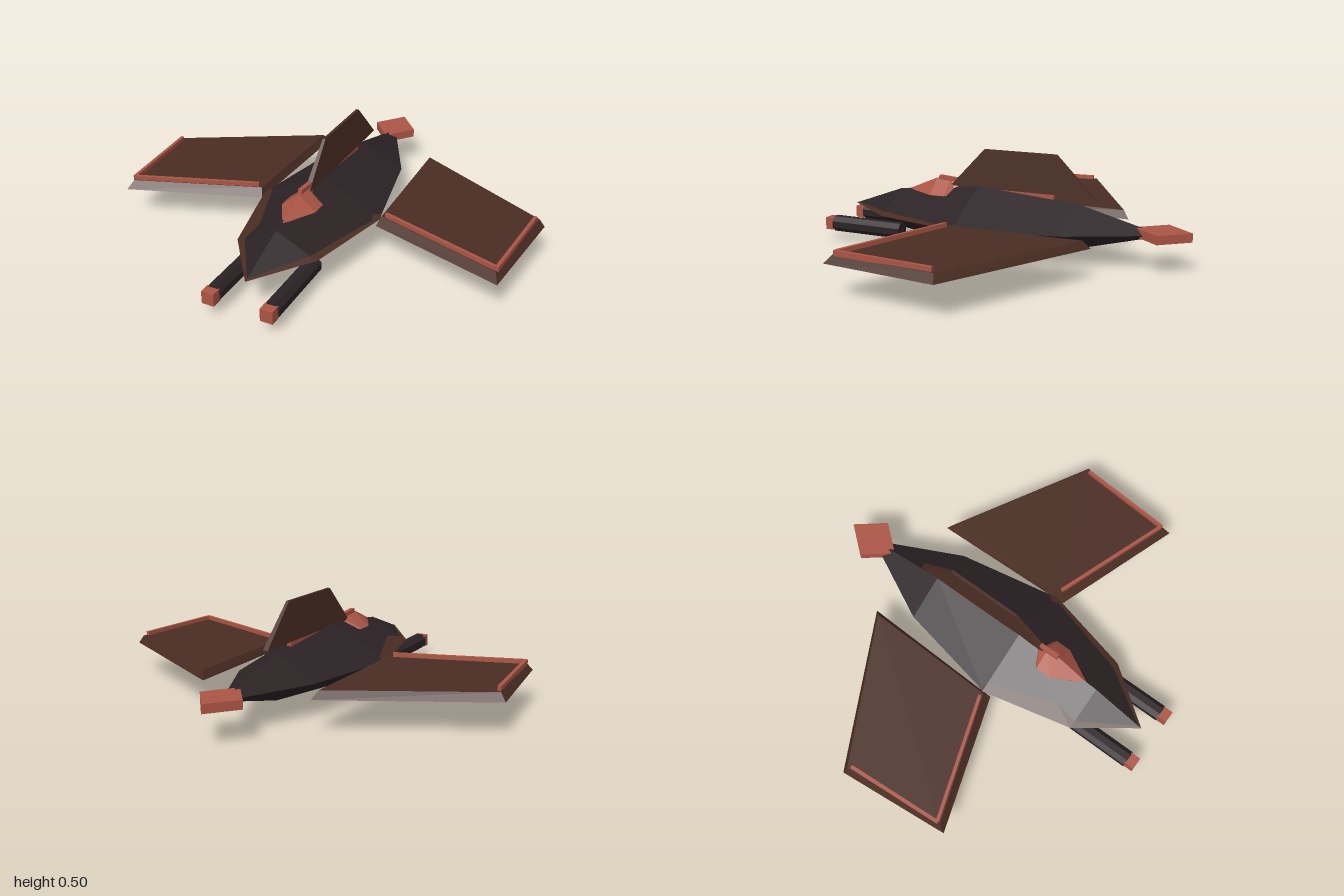
import * as THREE from 'three';

const paint = (name, color) => {
  const m = new THREE.MeshStandardMaterial({ color });
  m.name = name;
  return m;
};

// Faceted solid through a list of closed rings, capped at both ends.
// Rings run towards the viewer, corners counter-clockwise.
function loft(rings) {
  const pos = [];
  const tri = (...pts) => pts.forEach((p) => pos.push(...p));
  const n = rings[0].length;
  for (let i = 0; i < rings.length - 1; i++) {
    for (let j = 0; j < n; j++) {
      const k = (j + 1) % n;
      const [a, b, c, d] = [rings[i][j], rings[i][k], rings[i + 1][k], rings[i + 1][j]];
      tri(a, b, c);
      tri(a, c, d);
    }
  }
  const first = rings[0], last = rings[rings.length - 1];
  for (let j = 1; j < n - 1; j++) {
    tri(first[0], first[j + 1], first[j]);
    tri(last[0], last[j], last[j + 1]);
  }
  const g = new THREE.BufferGeometry();
  g.setAttribute('position', new THREE.Float32BufferAttribute(pos, 3));
  g.computeVertexNormals();
  return g;
}

// Diamond cross-sections along z: [z, half width, height above, depth below]
const spindle = (cy, sections) => loft(sections.map(([z, w, up, down]) => [
  [w, cy, z], [0, cy + up, z], [-w, cy, z], [0, cy - down, z],
]));

// Solid between a bottom outline and a top outline of [x, z] corners
const slab = (bottom, y0, top, y1, side = 1) => {
  const ring = (pts, y) => {
    const r = pts.map(([x, z]) => [x * side, y, z]);
    return side < 0 ? r.reverse() : r;
  };
  return loft([ring(bottom, y0), ring(top, y1)]);
};

const rect = (w, z0, z1) => [[-w, z0], [w, z0], [w, z1], [-w, z1]];

export function createModel() {
  const model = new THREE.Group();
  model.name = 'spacecraft';
  const dark = paint('charcoal', 0x2b2224);
  const brown = paint('dark brown', 0x4a2d23);
  const red = paint('rust red', 0xab5545);

  const add = (name, geometry, material) => {
    const mesh = new THREE.Mesh(geometry, material);
    mesh.name = name;
    model.add(mesh);
    return mesh;
  };
  // Thin square bar between two points
  const bar = (name, from, to, w, h, material) => {
    const a = new THREE.Vector3(...from), b = new THREE.Vector3(...to);
    const mesh = add(name, new THREE.BoxGeometry(w, h, a.distanceTo(b)), material);
    mesh.position.copy(a).lerp(b, 0.5);
    mesh.lookAt(b);
  };

  // Hull and the brown edge that surrounds its nose
  add('hull', spindle(0.168, [
    [-0.79, 0, 0, 0], [-0.37, 0.205, 0.11, 0.11], [0.13, 0.3, 0.158, 0.168],
    [0.57, 0.187, 0.098, 0.1], [0.835, 0, 0, 0],
  ]), dark);
  add('hullEdge', spindle(0.168, [
    [-0.2, 0.2, 0.08, 0.08], [0.13, 0.305, 0.14, 0.14],
    [0.57, 0.199, 0.07, 0.07], [0.84, 0, 0, 0],
  ]), brown);

  // Canopy, spine and fin
  add('canopy', spindle(0.268, [
    [0.24, 0.035, 0.05, 0.03], [0.285, 0.085, 0.07, 0.03],
    [0.36, 0.085, 0.072, 0.03], [0.515, 0, 0.005, 0.005],
  ]), red);
  bar('spine', [0, 0.297, -0.26], [0, 0.345, 0.345], 0.022, 0.02, red);
  add('fin', slab(rect(0.013, 0.28, -0.455), 0.31, rect(0.007, 0.1, -0.27), 0.5), brown);

  // Tail block
  const tail = [[0, -0.65], [0.11, -0.785], [0, -0.92], [-0.11, -0.785]];
  add('tailBlock', slab(tail, 0.152, tail, 0.194), red);

  for (const side of [1, -1]) {
    const label = side > 0 ? 'left' : 'right';

    // Wing with bevelled rim
    const under = [[0.3, 0.175], [0.94, 0.39], [1, -0.155], [0.283, -0.54]];
    const upper = [[0.315, 0.145], [0.92, 0.355], [0.975, -0.145], [0.305, -0.51]];
    add(label + 'Wing', slab(under, 0.153, upper, 0.192, side), brown);

    // Raised trim along the leading edge and the tip
    bar(label + 'LeadingTrim', [side * 0.335, 0.2, 0.14], [side * 0.915, 0.2, 0.34], 0.016, 0.024, red);
    bar(label + 'TipTrim', [side * 0.92, 0.2, 0.345], [side * 0.96, 0.2, -0.13], 0.016, 0.024, red);

    // Cannon under the nose
    const barrel = new THREE.CylinderGeometry(0.041, 0.041, 0.385, 8)
      .rotateY(Math.PI / 8).rotateX(Math.PI / 2).toNonIndexed();
    barrel.computeVertexNormals();
    add(label + 'Cannon', barrel, dark).position.set(side * 0.14, 0.087, 0.68);
    add(label + 'Muzzle', new THREE.BoxGeometry(0.06, 0.06, 0.05), red)
      .position.set(side * 0.14, 0.087, 0.892);
  }
  return model;
}
